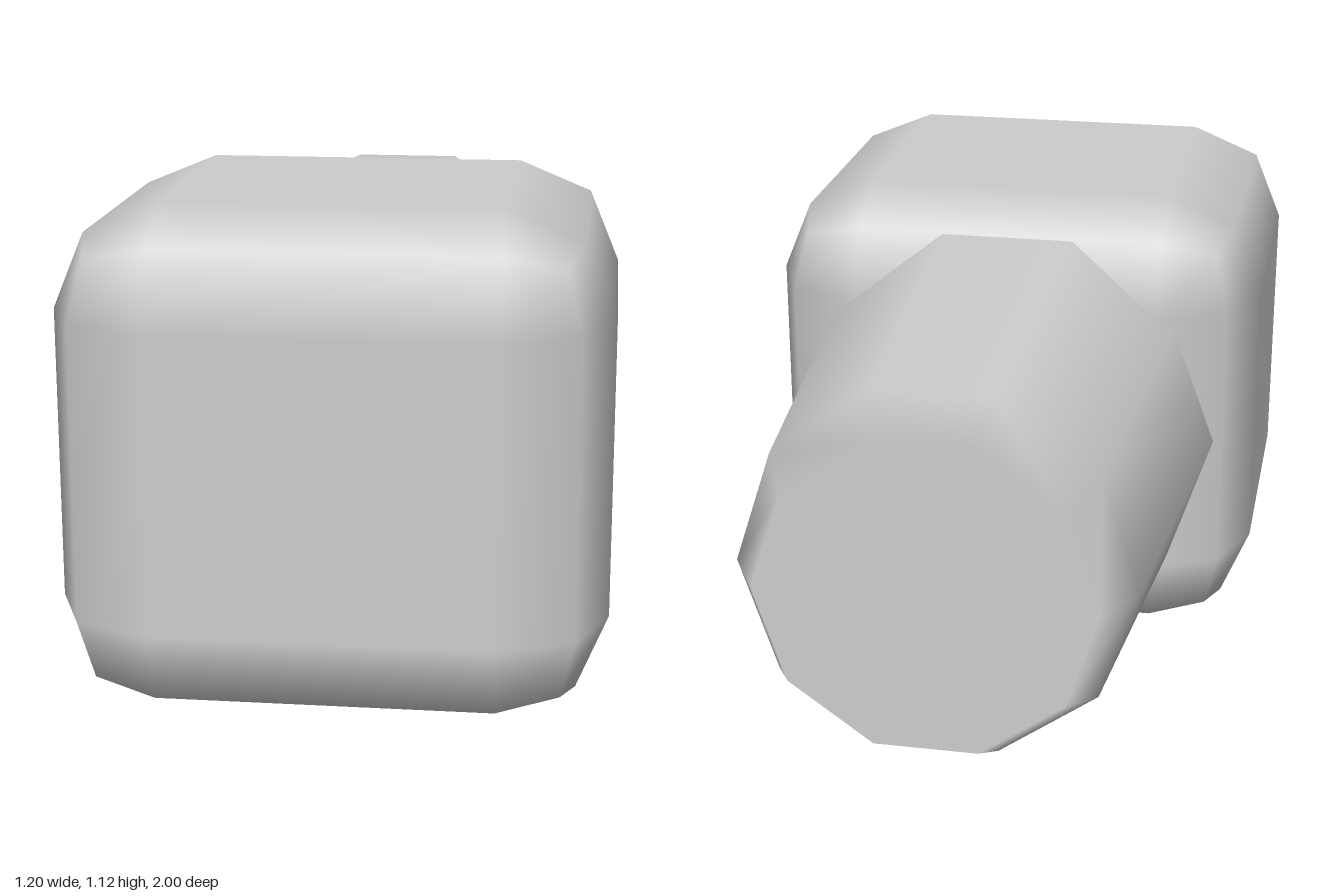
import * as THREE from 'three';
import { RoundedBoxGeometry } from 'three/addons/geometries/RoundedBoxGeometry.js';

export function createModel() {
  const model = new THREE.Group();
  const grey = new THREE.MeshStandardMaterial({ color: 0xcccccc });
  grey.name = 'plain grey';

  // Cube-like head with coarse rounded edges, smoothly shaded
  const head = new THREE.Mesh(new RoundedBoxGeometry(1.2, 1.12, 1.12, 1, 0.235), grey);
  head.name = 'head';
  head.position.set(0, 0.56, 0.44);
  model.add(head);

  // Ten-sided tapered handle with a bevelled rear rim: [radius, distance behind centre]
  const profile = [[0.53, -0.15], [0.437, 0.88], [0.37, 1], [0, 1]];
  const geometry = new THREE.LatheGeometry(
    profile.map(([r, d]) => new THREE.Vector2(r, d)), 10, Math.PI / 2);

  // Side rings point outward and cap rings point back, so the bevel blends between them
  const { position, normal } = geometry.attributes;
  const n = new THREE.Vector3();
  for (let i = 0; i < position.count; i++) {
    if (i % profile.length < 2) n.set(position.getX(i), 0, position.getZ(i)).normalize().setY(0.09).normalize();
    else n.set(0, 1, 0);
    normal.setXYZ(i, n.x, n.y, n.z);
  }
  geometry.rotateX(-Math.PI / 2);

  const handle = new THREE.Mesh(geometry, grey);
  handle.name = 'handle';
  handle.position.y = 0.56;
  model.add(handle);

  return model;
}
